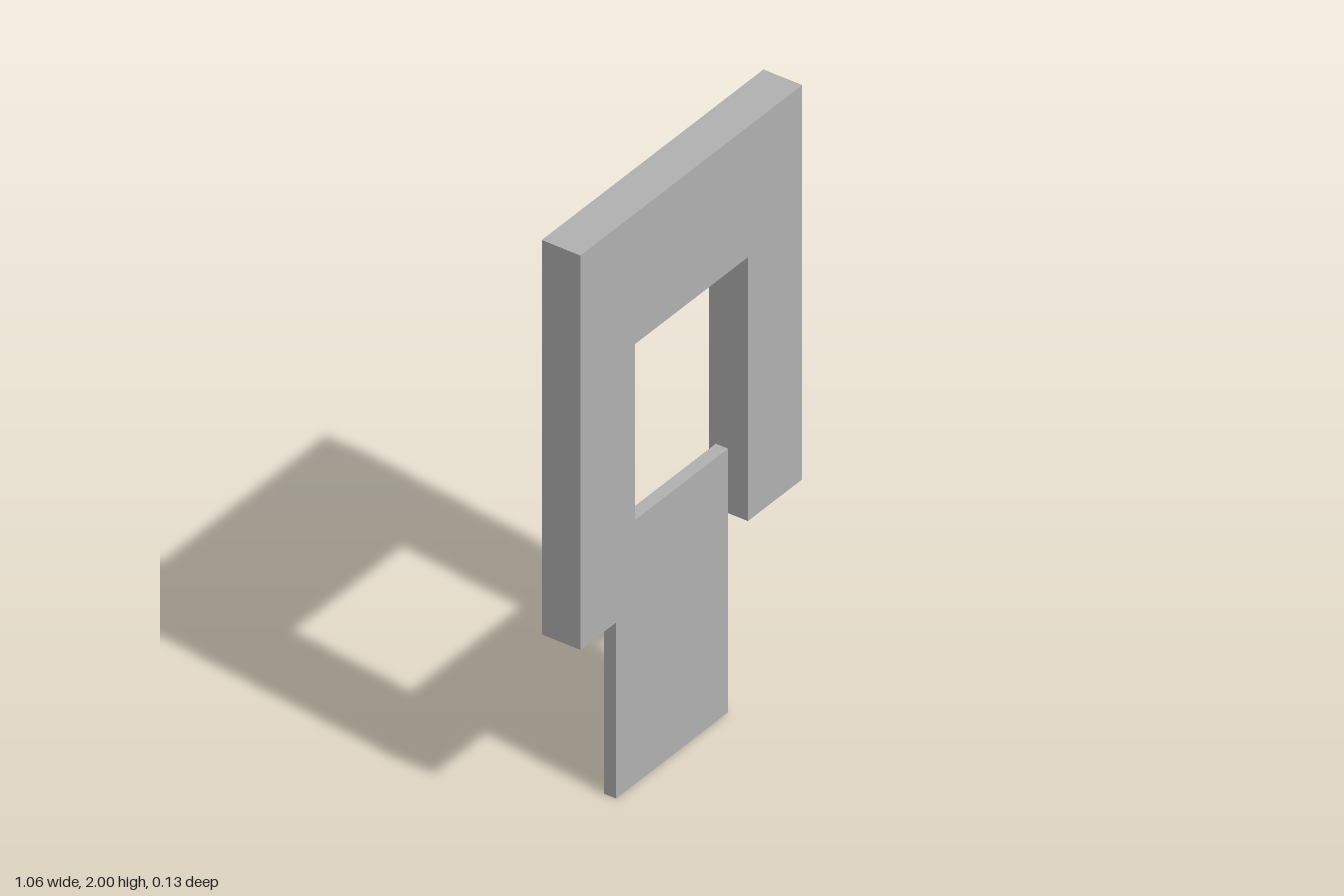
import * as THREE from 'three';

export function createModel() {
  const group = new THREE.Group();
  const grey = new THREE.MeshStandardMaterial({ color: 0xb2b2b2, side: THREE.DoubleSide });
  grey.name = 'plain grey';

  const halfW = 0.531, halfD = 0.067;       // outer frame
  const postIn = 0.4, openHalf = 0.271;     // solid post and opening
  const legY = 0.67, soffitY = 1.56, topY = 2;

  const add = (name, geometry, x, y, z, rotY = 0) => {
    const mesh = new THREE.Mesh(geometry, grey);
    mesh.name = name;
    mesh.position.set(x, y, z);
    mesh.rotation.y = rotY;
    group.add(mesh);
  };
  const box = (name, x0, x1, y0, y1, z0, z1) =>
    add(name, new THREE.BoxGeometry(x1 - x0, y1 - y0, z1 - z0),
      (x0 + x1) / 2, (y0 + y1) / 2, (z0 + z1) / 2);

  // lintel over the opening
  box('lintel', -postIn, postIn, soffitY, topY, -halfD, halfD);

  // each leg: a solid outer post and a hollow inner casing, open underneath
  const casingH = soffitY - legY, casingY = (soffitY + legY) / 2;
  const casingX = (postIn + openHalf) / 2;
  for (const [side, s] of [['left', 1], ['right', -1]]) {
    const xs = [s * postIn, s * halfW].sort((a, b) => a - b);
    box(side + 'Post', xs[0], xs[1], legY, topY, -halfD, halfD);
    const face = new THREE.PlaneGeometry(postIn - openHalf, casingH);
    add(side + 'CasingFront', face, s * casingX, casingY, halfD);
    add(side + 'CasingBack', face, s * casingX, casingY, -halfD, Math.PI);
    add(side + 'Jamb', new THREE.PlaneGeometry(2 * halfD, casingH),
      s * openHalf, casingY, 0, -s * Math.PI / 2);
  }

  // thin sliding panel hanging below the frame
  box('slidingPanel', -0.268, 0.268, 0, 0.89, -0.042, 0);

  return group;
}
